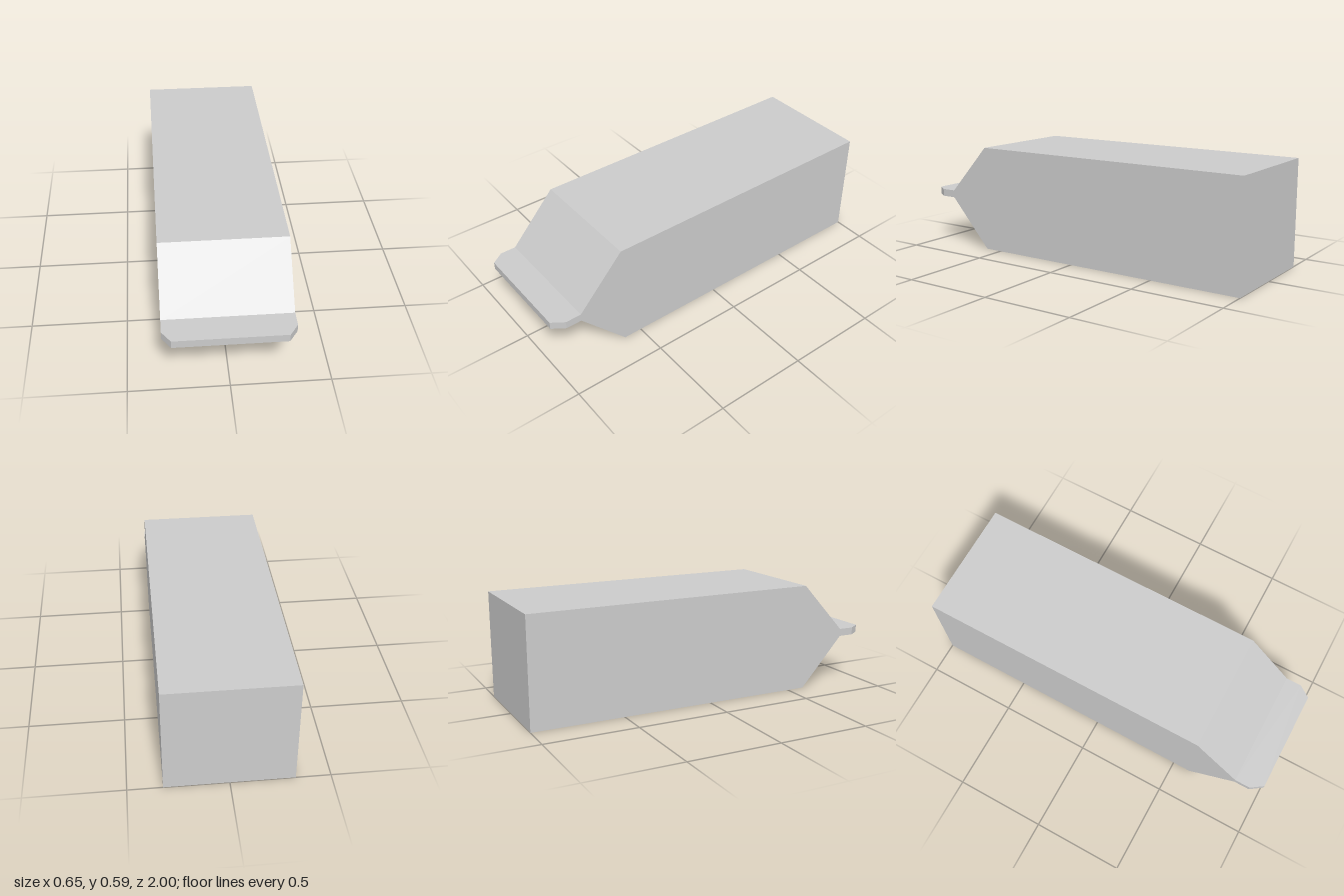
import * as THREE from 'three';
import { toCreasedNormals } from 'three/addons/utils/BufferGeometryUtils.js';

const HALF_WIDTH = 0.325;
const SEAL_BOTTOM = 0.274, SEAL_TOP = 0.315, SEAL_Z = 0.85;
const SHOULDER_Z = 0.6, HEIGHT = 0.587;

const material = new THREE.MeshStandardMaterial({ color: 0xcccccc });

function addPart(group, name, geometry) {
  const mesh = new THREE.Mesh(geometry, material);
  mesh.name = name;
  group.add(mesh);
  return mesh;
}

function extrude(points, depth) {
  const shape = new THREE.Shape(points.map(([x, y]) => new THREE.Vector2(x, y)));
  return new THREE.ExtrudeGeometry(shape, { depth, bevelEnabled: false });
}

export function createModel() {
  const group = new THREE.Group();

  // Long carton body: side profile (z, y) extruded across the width
  const body = extrude([
    [-1, 0], [SHOULDER_Z, 0], [SEAL_Z, SEAL_BOTTOM],
    [SEAL_Z, SEAL_TOP], [SHOULDER_Z, HEIGHT], [-1, HEIGHT],
  ], HALF_WIDTH * 2);
  body.translate(0, 0, -HALF_WIDTH).rotateY(-Math.PI / 2);
  addPart(group, 'cartonBody', body);

  // Flat seal at the gabled end: plan outline (x, z) with clipped corners
  const seal = extrude([
    [-HALF_WIDTH, SEAL_Z], [HALF_WIDTH, SEAL_Z], [HALF_WIDTH, 0.935],
    [0.28, 1], [-0.28, 1], [-HALF_WIDTH, 0.935],
  ], SEAL_TOP - SEAL_BOTTOM);
  seal.rotateX(Math.PI / 2).translate(0, SEAL_TOP, 0);
  addPart(group, 'topSeal', seal);

  // Screw cap: octagonal outer face narrowing to a square base
  const radius = 0.076, capHeight = 0.054;
  const cap = new THREE.CylinderGeometry(radius, radius, capHeight, 8);
  const pos = cap.attributes.position;
  for (let i = 0; i < pos.count; i++) {
    const x = pos.getX(i), z = pos.getZ(i);
    if (pos.getY(i) < 0 && Math.abs(x * z) > 1e-4) {
      pos.setX(i, Math.sign(x) * radius / 2);
      pos.setZ(i, Math.sign(z) * radius / 2);
    }
  }
  const capMesh = addPart(group, 'screwCap', toCreasedNormals(cap, 1.0));
  // Stand the cap square to the lower slope
  capMesh.rotation.x = Math.PI / 2 + Math.atan2(SEAL_Z - SHOULDER_Z, SEAL_BOTTOM);
  capMesh.position.set(0, 0.126, 0.758);

  return group;
}
